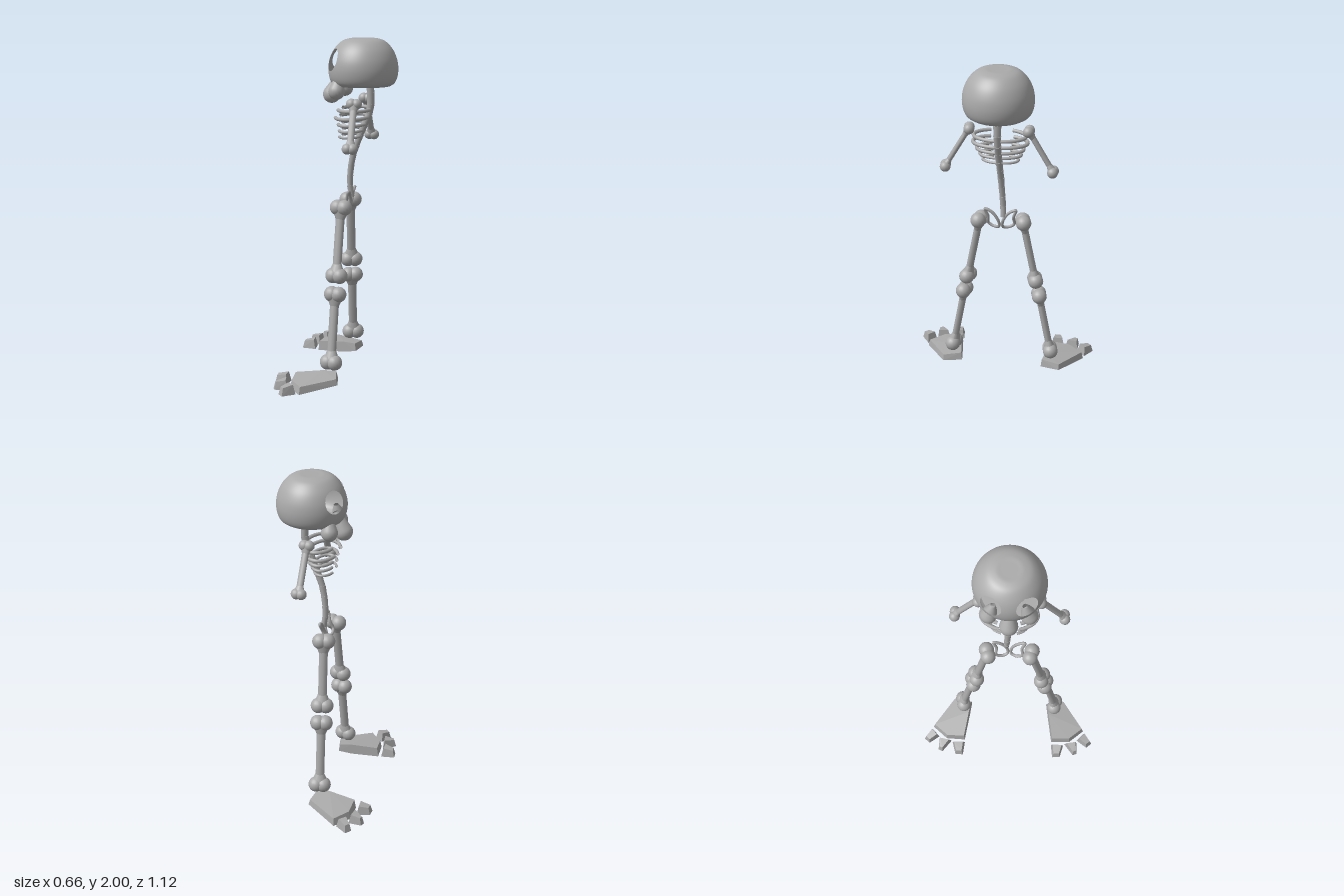
import * as THREE from 'three';
import { ConvexGeometry } from 'three/addons/geometries/ConvexGeometry.js';

const V = (x, y, z) => new THREE.Vector3(x, y, z);
const bone = new THREE.MeshStandardMaterial({ color: 0xaaaaaa, side: THREE.DoubleSide });
bone.name = 'bone grey';

function add(parent, name, geometry) {
  const mesh = new THREE.Mesh(geometry, bone);
  mesh.name = name;
  parent.add(mesh);
  return mesh;
}

// Round dome with two circular see-through eye sockets
function skullGeometry() {
  const profile = new THREE.SplineCurve([
    [0.158, 1.728], [0.182, 1.745], [0.197, 1.78], [0.202, 1.83], [0.193, 1.885],
    [0.167, 1.94], [0.125, 1.983], [0.08, 1.999], [0.04, 2], [0.0001, 2],
  ].map(([r, y]) => new THREE.Vector2(r, y))).getSpacedPoints(56);
  const geo = new THREE.LatheGeometry(profile, 112);
  const pos = geo.attributes.position;
  const inside = new Array(pos.count).fill(false);
  const radius = 0.066;
  for (const side of [1, -1]) {
    const axis = V(-0.85, 0.28, 0.52 * side).normalize();
    const origin = V(0, 1.828, 0);
    for (let i = 0; i < pos.count; i++) {
      const p = V().fromBufferAttribute(pos, i).sub(origin);
      const depth = p.dot(axis);
      const across = p.clone().addScaledVector(axis, -depth);
      if (depth < 0 || across.length() > radius) continue;
      // Push vertices inside the socket out to its rim
      inside[i] = true;
      across.setLength(radius).addScaledVector(axis, depth).add(origin);
      // Keep the rim on the dome surface
      const ring = profile.reduce((a, b) => Math.abs(a.y - across.y) < Math.abs(b.y - across.y) ? a : b);
      const k = ring.x / Math.hypot(across.x, across.z);
      pos.setXYZ(i, across.x * k, across.y, across.z * k);
    }
  }
  const old = geo.index.array, kept = [];
  for (let i = 0; i < old.length; i += 3) {
    const t = [old[i], old[i + 1], old[i + 2]];
    if (!t.every((v) => inside[v])) kept.push(...t);
  }
  geo.setIndex(kept);
  return geo;
}

// Teardrop with its ball at one end and its tip at the other
function teardrop(parent, name, ball, tip, r) {
  const axis = tip.clone().sub(ball), length = axis.length(), points = [];
  for (let i = 0; i <= 10; i++) {
    const a = -Math.PI / 2 + (i / 10) * Math.PI * 0.62;
    points.push(new THREE.Vector2(Math.max(0.0001, r * Math.cos(a)), r * Math.sin(a)));
  }
  points.push(new THREE.Vector2(r * 0.62, length * 0.65), new THREE.Vector2(r * 0.3, length));
  const mesh = add(parent, name, new THREE.LatheGeometry(points, 20));
  mesh.position.copy(ball);
  mesh.quaternion.setFromUnitVectors(V(0, 1, 0), axis.normalize());
}

// Long bone: faceted shaft, with two knobs at each end
function longBone(parent, name, from, to, knob, shaft) {
  const g = new THREE.Group();
  g.name = name;
  const dir = to.clone().sub(from), length = dir.length();
  g.position.copy(from).add(to).multiplyScalar(0.5);
  g.quaternion.setFromUnitVectors(V(0, 1, 0), dir.normalize());
  const middle = add(g, 'shaft', new THREE.CylinderGeometry(shaft, shaft, length, 10));
  middle.scale.z = 0.78;
  for (const end of [1, -1]) {
    for (const s of [1, -1]) {
      const ball = add(g, 'knob', new THREE.SphereGeometry(knob, 18, 12));
      ball.position.set(s * knob * 0.48, end * length / 2, 0);
    }
    const flare = add(g, 'flare', new THREE.CylinderGeometry(knob * 1.05, shaft, knob * 1.1, 12));
    flare.position.y = end * (length / 2 - knob * 1.0);
    flare.scale.z = 0.72;
    if (end < 0) flare.rotation.z = Math.PI;
  }
  parent.add(g);
}

// Faceted block from a ground outline and a raised, inset outline
function block(parent, name, outline, side, inset) {
  const n = outline.length;
  const cx = outline.reduce((s, p) => s + p[0], 0) / n;
  const cz = outline.reduce((s, p) => s + p[1], 0) / n;
  const points = [];
  for (const [x, z, low, high] of outline) {
    points.push(V(x, low, z * side));
    points.push(V(cx + (x - cx) * inset, high, (cz + (z - cz) * inset) * side));
  }
  add(parent, name, new ConvexGeometry(points));
}

export function createModel() {
  const model = new THREE.Group();
  model.name = 'skeleton';

  // Head
  const head = new THREE.Group();
  head.name = 'head';
  model.add(head);
  add(head, 'skull', skullGeometry()).position.x = 0.123;
  const base = add(head, 'skullBase', new THREE.CircleGeometry(0.158, 64));
  base.rotation.x = Math.PI / 2;
  base.position.set(0.123, 1.728, 0);
  teardrop(head, 'frontTooth', V(-0.064, 1.675, 0), V(-0.015, 1.79, 0), 0.052);
  for (const s of [1, -1]) teardrop(head, 'sideTooth', V(-0.01, 1.702, 0.11 * s), V(0.005, 1.8, 0.085 * s), 0.048);

  // Spine of short tapered vertebrae
  const spine = new THREE.CatmullRomCurve3([
    V(0.162, 1.75, 0), V(0.168, 1.66, 0), V(0.163, 1.58, 0), V(0.13, 1.5, 0), V(0.09, 1.4, -0.002),
    V(0.06, 1.31, -0.005), V(0.045, 1.21, -0.01), V(0.042, 1.14, -0.014), V(0.052, 1.07, -0.017),
  ]);
  const joints = spine.getSpacedPoints(11);
  for (let i = 0; i < 11; i++) {
    const a = joints[i], b = joints[i + 1], r = 0.024 - i * 0.0006;
    const dir = a.clone().sub(b);
    const v = add(model, 'vertebra', new THREE.CylinderGeometry(r, r * 0.88, dir.length() * 1.06, 10));
    v.position.copy(a).add(b).multiplyScalar(0.5);
    v.quaternion.setFromUnitVectors(V(0, 1, 0), dir.normalize());
  }

  // Ribs, open at the front: height, half width, front x, back x, thickness
  const ribs = [
    [1.59, 0.15, -0.02, 0.165, 0.011], [1.545, 0.158, -0.035, 0.15, 0.011], [1.505, 0.136, -0.02, 0.135, 0.01],
    [1.468, 0.12, -0.015, 0.118, 0.009], [1.432, 0.104, -0.015, 0.105, 0.008],
  ];
  for (const [y, w, front, back, r] of ribs) {
    const points = [];
    for (let i = 0; i <= 24; i++) {
      const a = (i / 24 - 0.5) * Math.PI * 1.72;
      points.push(V((front + back) / 2 + Math.cos(a) * (back - front) / 2, y, Math.sin(a) * w));
    }
    add(model, 'rib', new THREE.TubeGeometry(new THREE.CatmullRomCurve3(points), 40, r, 8));
  }

  const foot = [
    [-0.225, 0.29, 0, 0.06], [-0.22, 0.41, 0, 0.05], [-0.142, 0.503, 0, 0.045],
    [0.053, 0.367, 0.025, 0.06], [0.03, 0.25, 0.025, 0.072], [-0.05, 0.262, 0.01, 0.075],
  ];
  const toes = [
    [[-0.33, 0.298], [-0.245, 0.288], [-0.248, 0.37], [-0.327, 0.348]],
    [[-0.312, 0.435], [-0.237, 0.377], [-0.222, 0.458], [-0.3, 0.462]],
    [[-0.257, 0.525], [-0.21, 0.46], [-0.16, 0.508], [-0.228, 0.558]],
  ];
  for (const s of [1, -1]) {
    // Pelvis loop
    const hip = [[0.055, 1.115, 0.092], [0.055, 1.095, 0.05], [0.05, 1.04, 0.014], [0.035, 0.995, 0.012],
      [0.02, 0.988, 0.045], [0.02, 1.01, 0.078], [0.04, 1.06, 0.075]].map(([x, y, z]) => V(x, y, z * s));
    add(model, 'pelvis', new THREE.TubeGeometry(new THREE.CatmullRomCurve3(hip, true), 48, 0.009, 8, true));

    // Limbs
    longBone(model, 'upperArm', V(0.105, 1.638, 0.17 * s), V(0.112, 1.402, 0.31 * s), 0.031, 0.02);
    longBone(model, 'thigh', V(0.02, 1.028, 0.13 * s), V(0.01, 0.637, 0.206 * s), 0.046, 0.027);
    longBone(model, 'shin', V(0.008, 0.532, 0.23 * s), V(0, 0.14, 0.304 * s), 0.046, 0.027);

    // Foot and toes
    block(model, 'foot', foot, s, 0.93);
    for (const t of toes) {
      block(model, 'toe', t.map(([x, z], i) => [x, z, 0.004, i === 1 || i === 2 ? 0.062 : 0.05]), s, 0.72);
    }
  }
  return model;
}
